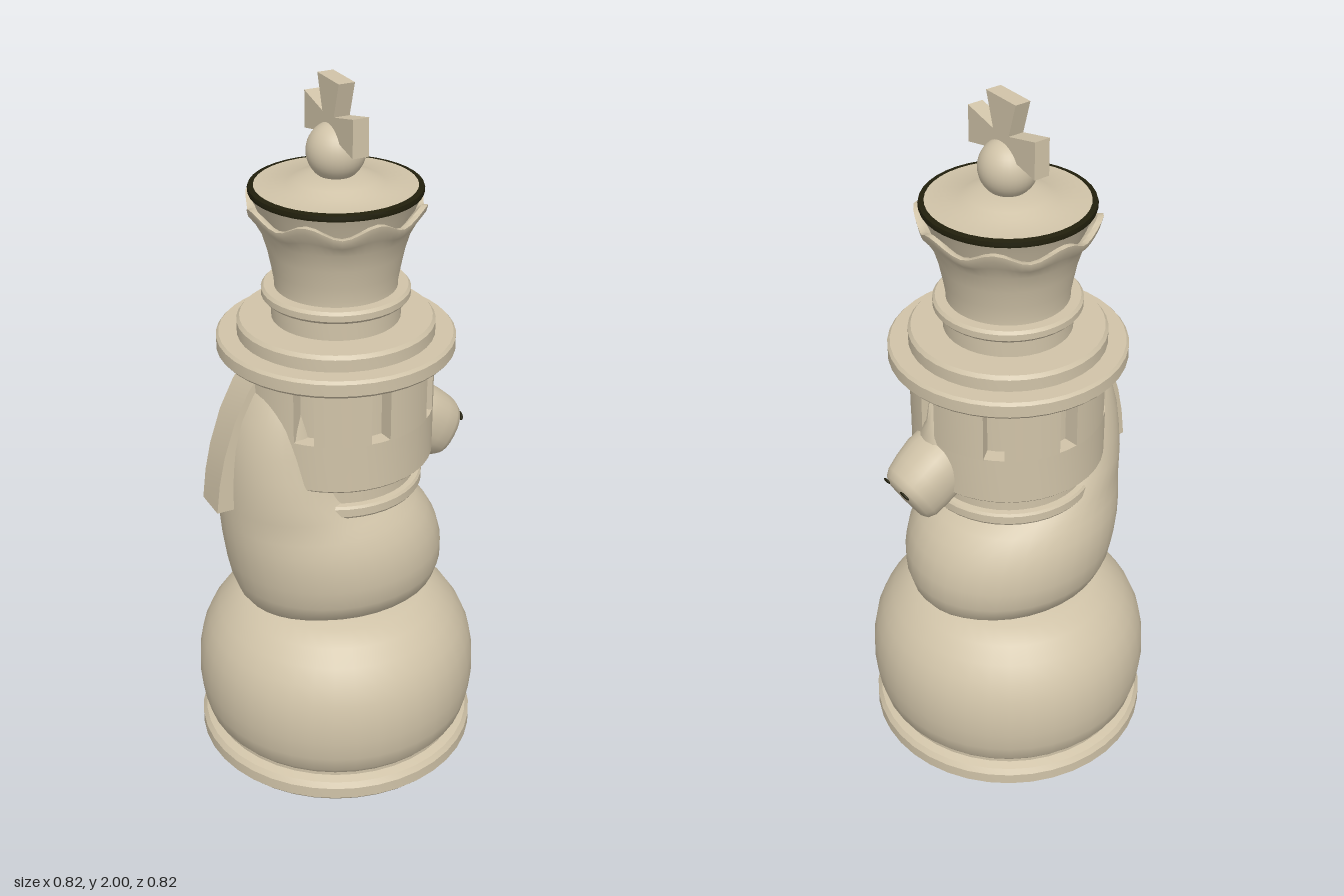
import * as THREE from 'three';
import { mergeVertices, toCreasedNormals } from 'three/addons/utils/BufferGeometryUtils.js';

const ivory = new THREE.MeshStandardMaterial({ color: 0xd0c3a8 });
ivory.name = 'ivory';
const dark = new THREE.MeshStandardMaterial({ color: 0x211f0c });
dark.name = 'dark trim';

// Smooth surface that keeps its sharp edges
function crease(geo, angle = 0.6) {
  geo.deleteAttribute('normal');
  geo.deleteAttribute('uv');
  return toCreasedNormals(mergeVertices(geo, 1e-4), angle);
}

function part(name, geo, material = ivory) {
  const mesh = new THREE.Mesh(geo, material);
  mesh.name = name;
  return mesh;
}

// Turned part from [radius, height] pairs, bottom to top
function turned(name, profile, material = ivory, segments = 40) {
  const points = profile.map(([r, y]) => new THREE.Vector2(r, y));
  return part(name, crease(new THREE.LatheGeometry(points, segments)), material);
}

// Oval sections [y, xMin, xMax, halfDepth], bottom to top, capped at both ends
function loft(name, rows, segments = 32, angle = 0.8, power = 1) {
  const n = rows.length - 1;
  const geo = new THREE.CylinderGeometry(1, 1, 1, segments, n);
  const pos = geo.attributes.position;
  const square = v => Math.sign(v) * Math.pow(Math.abs(v), power);
  for (let i = 0; i < pos.count; i++) {
    const [y, x0, x1, hz] = rows[Math.round((pos.getY(i) + 0.5) * n)];
    pos.setXYZ(i, (x0 + x1) / 2 + square(pos.getX(i)) * (x1 - x0) / 2, y, square(pos.getZ(i)) * hz);
  }
  return part(name, crease(geo, angle));
}

function outline(points) {
  return new THREE.Shape(points.map(([x, y]) => new THREE.Vector2(x, y)));
}

export function createModel() {
  const model = new THREE.Group();
  model.name = 'stackedChessPiece';

  // Foot and squashed ball
  model.add(turned('base', [
    [0, 0], [0.395, 0], [0.406, 0.012], [0.406, 0.045], [0.395, 0.06], [0.372, 0.068],
    [0.372, 0.078], [0.39, 0.1], [0.403, 0.15], [0.409, 0.21], [0.407, 0.27], [0.396, 0.33],
    [0.375, 0.38], [0.345, 0.425], [0.305, 0.465], [0.26, 0.495], [0, 0.5]]));

  // Horse chest and neck, leaning back behind the tower
  model.add(loft('horseBody', [
    [0.48, -0.25, 0.25, 0.18], [0.5, -0.272, 0.275, 0.2], [0.53, -0.294, 0.297, 0.25],
    [0.58, -0.312, 0.31, 0.272], [0.64, -0.325, 0.309, 0.28], [0.7, -0.334, 0.293, 0.278],
    [0.75, -0.339, 0.265, 0.268], [0.79, -0.341, 0.228, 0.252], [0.82, -0.342, 0.18, 0.238],
    [0.85, -0.342, 0.11, 0.225], [0.9, -0.342, 0.03, 0.21], [0.97, -0.339, -0.02, 0.19],
    [1.04, -0.331, -0.05, 0.175], [1.12, -0.31, -0.08, 0.155], [1.19, -0.276, -0.1, 0.13],
    [1.25, -0.235, -0.12, 0.1]], 36, 1));

  // Mane strip down the back of the neck
  const maneShape = outline([[-0.385, 0.855], [-0.335, 0.855], [-0.325, 1], [-0.28, 1.12],
    [-0.2, 1.25], [-0.25, 1.25], [-0.285, 1.2], [-0.325, 1.12], [-0.358, 1.02], [-0.375, 0.94]]);
  const mane = part('mane', crease(
    new THREE.ExtrudeGeometry(maneShape, { depth: 0.1, bevelEnabled: false })));
  mane.position.z = -0.05;
  model.add(mane);

  // Horse head pointing out and down, with nostrils and forelock
  const head = new THREE.Group();
  head.name = 'horseHead';
  head.position.set(0.2, 1, 0);
  head.rotation.z = -Math.PI * 2 / 3;
  head.add(loft('muzzle', [
    [-0.05, -0.09, 0.06, 0.07], [0, -0.112, 0.07, 0.092], [0.05, -0.112, 0.075, 0.095],
    [0.1, -0.105, 0.08, 0.09], [0.14, -0.096, 0.083, 0.083], [0.16, -0.085, 0.076, 0.072],
    [0.169, -0.068, 0.06, 0.055]], 28, 0.7, 0.85));
  for (const side of [-1, 1]) {
    const nostril = part('nostril', new THREE.SphereGeometry(1, 12, 8), dark);
    nostril.scale.set(0.009, 0.004, 0.018);
    nostril.position.set(-0.062, 0.169, side * 0.042);
    nostril.rotation.y = side * 0.35;
    head.add(nostril);
  }
  model.add(head);
  const forelock = loft('forelock', [
    [1.04, 0.2, 0.285, 0.07], [1.1, 0.2, 0.276, 0.05], [1.14, 0.2, 0.268, 0.024],
    [1.19, 0.2, 0.262, 0.015], [1.23, 0.2, 0.25, 0.006]], 12);
  model.add(forelock);

  // Collar under the tower
  model.add(turned('collar', [
    [0, 0.85], [0.235, 0.85], [0.24, 0.857], [0.24, 0.88], [0.235, 0.887], [0.22, 0.889],
    [0.22, 0.95], [0, 0.95]]));

  // Tower: lower wall, inner core and eight blocks separated by slots
  model.add(turned('towerWall', [
    [0, 0.948], [0.262, 0.948], [0.268, 0.954], [0.268, 1.09], [0, 1.09]]));
  model.add(turned('towerCore', [[0.225, 1.08], [0.225, 1.262]]));
  for (let k = 0; k < 8; k++) {
    const mid = (k + 0.5) * Math.PI / 4;
    const half = Math.PI / 8 - 0.105;
    const sector = new THREE.Shape();
    sector.absarc(0, 0, 0.268, mid - half, mid + half, false);
    sector.absarc(0, 0, 0.2, mid + half, mid - half, true);
    const block = part('towerBlock', crease(new THREE.ExtrudeGeometry(sector,
      { depth: 0.158, bevelEnabled: false, curveSegments: 5 })));
    block.rotation.x = -Math.PI / 2;
    block.position.y = 1.088;
    model.add(block);
  }

  // Wide brim, step, neck and ring
  model.add(turned('brim', [
    [0, 1.245], [0.235, 1.245], [0.235, 1.262], [0.317, 1.262], [0.324, 1.27], [0.324, 1.303],
    [0.317, 1.311], [0.268, 1.311], [0.268, 1.345], [0.26, 1.355], [0.174, 1.355],
    [0.174, 1.412], [0.193, 1.412], [0.2, 1.42], [0.2, 1.437], [0.193, 1.445], [0, 1.445]]));

  // Flared crown with a rippled rim
  const crownProfile = [[0.165, 1.44], [0.165, 1.46], [0.172, 1.5], [0.182, 1.55], [0.197, 1.6],
    [0.215, 1.632], [0.233, 1.655], [0.237, 1.672], [0.222, 1.672], [0.19, 1.64]];
  const crownGeo = new THREE.LatheGeometry(crownProfile.map(p => new THREE.Vector2(...p)), 64);
  const pos = crownGeo.attributes.position;
  for (let i = 0; i < pos.count; i++) {
    const x = pos.getX(i), y = pos.getY(i), z = pos.getZ(i);
    const wave = Math.cos(8 * Math.atan2(z, x)) * THREE.MathUtils.smoothstep(y, 1.6, 1.67);
    const grow = 1 + 0.03 * wave;
    pos.setXYZ(i, x * grow, y + 0.017 * wave, z * grow);
  }
  model.add(part('crown', crease(crownGeo, 0.8)));

  // Lid with dark edge, low dome and ball
  model.add(turned('lid', [[0, 1.63], [0.195, 1.63], [0.212, 1.675], [0.226, 1.704], [0, 1.704]]));
  model.add(turned('lidEdge', [
    [0.213, 1.7], [0.228, 1.704], [0.23, 1.712], [0.228, 1.719], [0.214, 1.722], [0.213, 1.7]], dark));
  model.add(turned('dome', [
    [0, 1.704], [0.214, 1.704], [0.214, 1.721], [0.13, 1.724], [0.11, 1.738], [0.07, 1.746],
    [0.04, 1.75], [0, 1.75]]));
  const ball = part('ball', new THREE.SphereGeometry(0.078, 32, 20));
  ball.position.y = 1.81;
  model.add(ball);

  // Flared cross, thin from front to side
  const half = [[0.03, 1.78], [0.03, 1.855], [0.137, 1.832], [0.137, 1.933], [0.032, 1.908], [0.06, 2]];
  const crossShape = outline([...half, ...half.slice().reverse().map(([x, y]) => [-x, y])]);
  const cross = part('cross', crease(
    new THREE.ExtrudeGeometry(crossShape, { depth: 0.045, bevelEnabled: false })));
  cross.rotation.y = Math.PI / 2;
  cross.position.x = -0.0225;
  model.add(cross);

  return model;
}
